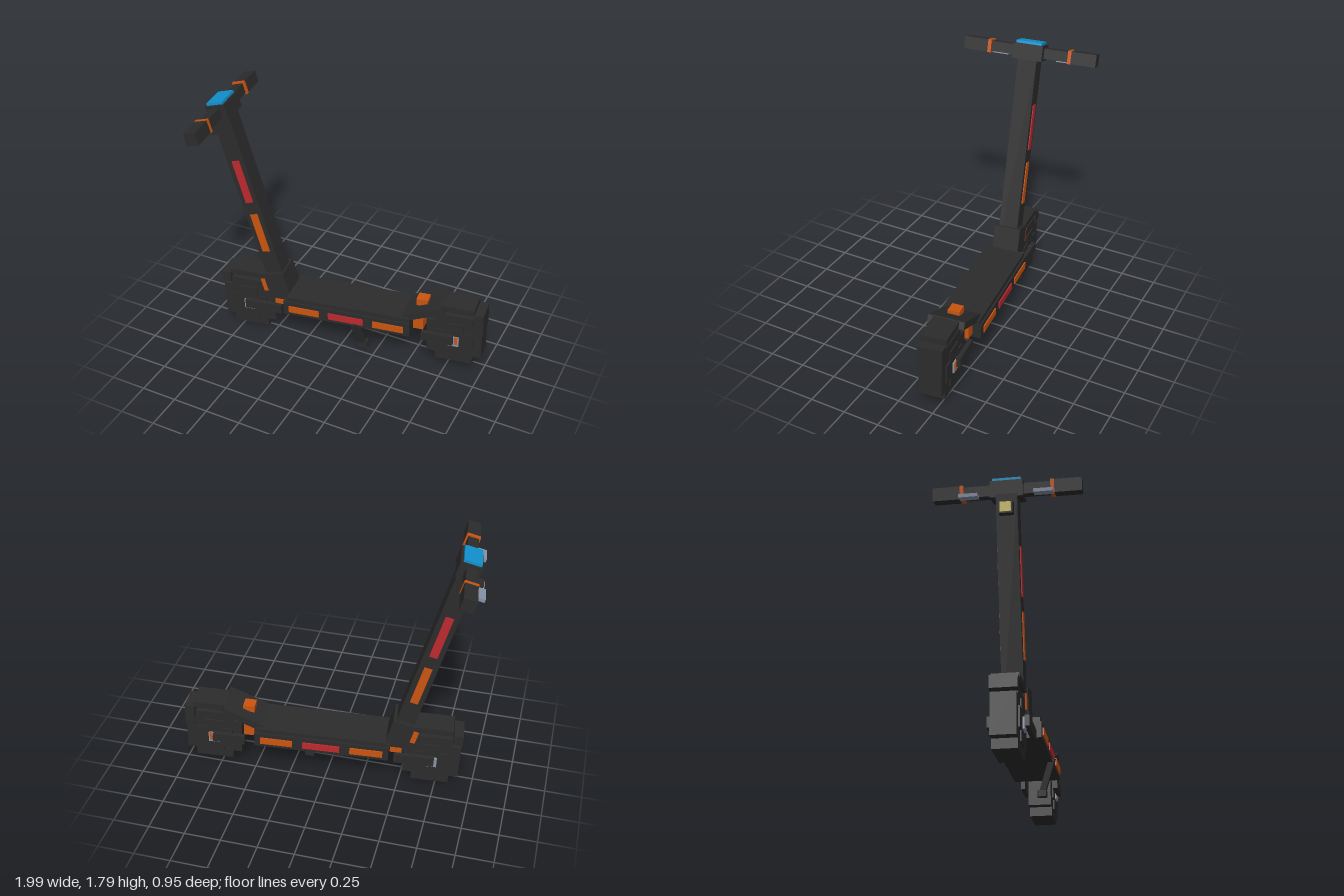
import * as THREE from 'three';

export function createModel() {
  const mat = (name, color) => Object.assign(new THREE.MeshStandardMaterial({ color }), { name });
  const dark = mat('charcoal', 0x2c2c2c), orange = mat('orange', 0xcb5510), red = mat('red', 0xbd292e);
  const blue = mat('blue', 0x1093cf), grey = mat('steel', 0x8792a8), yellow = mat('lampYellow', 0xd9cd72);

  // box by size and centre, optionally tilted about z
  const box = (parent, name, m, [w, h, d], [x, y, z], tilt = 0) => {
    const mesh = new THREE.Mesh(new THREE.BoxGeometry(w, h, d), m);
    mesh.name = name;
    mesh.position.set(x, y, z);
    mesh.rotation.z = tilt;
    parent.add(mesh);
    return mesh;
  };
  const group = (parent, name, x, y, tilt = 0) => {
    const g = new THREE.Group();
    g.name = name;
    g.position.set(x, y, 0);
    g.rotation.z = tilt;
    parent.add(g);
    return g;
  };

  const model = new THREE.Group();
  model.name = 'scooter';
  const body = group(model, 'scooterBody', 0, 0);
  body.rotation.set(0, 0.122, 0.04, 'YXZ');
  body.position.z = -0.108;

  // deck with its coloured side stripes
  box(body, 'deckBody', dark, [0.92, 0.105, 0.31], [0.04, 0.302, 0]);
  box(body, 'deckPlate', dark, [0.9, 0.035, 0.285], [0.05, 0.37, 0]);
  for (const s of [1, -1]) {
    box(body, 'deckStripe', orange, [0.225, 0.05, 0.009], [-0.267, 0.3, s * 0.159]);
    box(body, 'deckStripe', red, [0.255, 0.05, 0.009], [0.042, 0.3, s * 0.159]);
    box(body, 'deckStripe', orange, [0.22, 0.05, 0.009], [0.35, 0.3, s * 0.159]);
  }

  // stepped wheels with rims, hubs and side arms
  for (const [name, x, armX, armLength] of [['front', -0.713, -0.592, 0.275], ['rear', 0.796, 0.686, 0.22]]) {
    const wheel = group(body, name + 'Wheel', x, 0.24);
    box(wheel, 'tyreWide', dark, [0.385, 0.26, 0.155], [0, 0, 0]);
    box(wheel, 'tyreTall', dark, [0.26, 0.385, 0.153], [0, 0, 0]);
    box(wheel, 'rimWide', dark, [0.26, 0.13, 0.175], [0, 0, 0]);
    box(wheel, 'rimTall', dark, [0.13, 0.26, 0.173], [0, 0, 0]);
    box(wheel, 'hub', grey, [0.075, 0.075, 0.2], [0, -0.01, 0]);
    for (const s of [1, -1]) box(body, name + 'Arm', dark, [armLength, 0.068, 0.03], [armX, 0.252, s * 0.112]);
  }
  for (const s of [1, -1]) box(body, 'rearReflector', orange, [0.02, 0.06, 0.008], [0.815, 0.242, s * 0.101]);

  // front mudguard and fork bridge
  box(body, 'frontMudguard', dark, [0.3, 0.043, 0.17], [-0.69, 0.487, 0]);
  box(body, 'frontMudguardTip', dark, [0.065, 0.08, 0.17], [-0.878, 0.432, 0]);
  box(body, 'bridgeAccent', orange, [0.08, 0.04, 0.2], [-0.465, 0.305, 0]);

  // rear mudguard with brake lamp
  box(body, 'rearMudguardSlope', dark, [0.3, 0.05, 0.25], [0.59, 0.435, 0], 0.39);
  box(body, 'rearMudguard', dark, [0.23, 0.045, 0.175], [0.82, 0.49, 0]);
  box(body, 'rearMudguardTip', dark, [0.065, 0.16, 0.17], [0.964, 0.39, 0]);
  box(body, 'brakeLamp', orange, [0.08, 0.05, 0.08], [0.56, 0.468, 0]);
  box(body, 'rearAccent', orange, [0.07, 0.09, 0.2], [0.55, 0.335, 0]);

  // kickstand
  const top = new THREE.Vector3(0.1, 0.28, 0.155), foot = new THREE.Vector3(0.143, 0.055, 0.08);
  const leg = box(body, 'kickstandLeg', dark, [0.04, top.distanceTo(foot), 0.04],
    top.clone().add(foot).multiplyScalar(0.5).toArray());
  leg.quaternion.setFromUnitVectors(new THREE.Vector3(0, 1, 0), top.clone().sub(foot).normalize());
  box(body, 'kickstandFoot', dark, [0.065, 0.04, 0.06], foot.toArray(), 0.1);

  // leaning stem, with everything on it
  const stem = group(body, 'stem', -0.458, 0.3, 0.235);
  box(stem, 'stemTube', dark, [0.125, 1.46, 0.135], [0, 0.73, 0]);
  box(stem, 'stemBase', dark, [0.155, 0.23, 0.19], [0.005, 0.12, 0]);
  box(stem, 'forkNeck', dark, [0.07, 0.15, 0.16], [-0.075, 0.14, 0]);
  for (const s of [1, -1]) {
    box(stem, 'stemStripe', red, [0.055, 0.32, 0.008], [0, 0.968, s * 0.07]);
    box(stem, 'stemStripe', orange, [0.055, 0.3, 0.008], [0, 0.563, s * 0.07]);
    box(stem, 'forkStripe', orange, [0.04, 0.1, 0.009], [-0.09, 0.147, s * 0.084]);
  }
  box(stem, 'headlightBody', dark, [0.065, 0.08, 0.09], [-0.088, 1.358, 0]);
  box(stem, 'headlightLens', yellow, [0.008, 0.062, 0.07], [-0.123, 1.358, 0]);

  // handlebar
  box(stem, 'handlebarHead', dark, [0.14, 0.106, 0.21], [0.008, 1.495, 0]);
  box(stem, 'display', blue, [0.115, 0.02, 0.18], [0.004, 1.556, 0]);
  box(stem, 'handlebar', dark, [0.07, 0.07, 0.6], [0, 1.495, 0]);
  for (const s of [1, -1]) {
    box(stem, 'grip', dark, [0.085, 0.085, 0.19], [0, 1.495, s * 0.377]);
    box(stem, 'gripRing', orange, [0.09, 0.09, 0.024], [0, 1.495, s * 0.287]);
    box(stem, 'brakeLever', grey, [0.07, 0.022, 0.12], [-0.078, 1.452, s * 0.235]);
  }

  // stand on the ground, centred
  model.updateMatrixWorld(true);
  const bounds = new THREE.Box3().setFromObject(model, true);
  const centre = bounds.getCenter(new THREE.Vector3());
  body.position.x -= centre.x;
  body.position.y -= bounds.min.y;
  body.position.z -= centre.z;
  return model;
}
